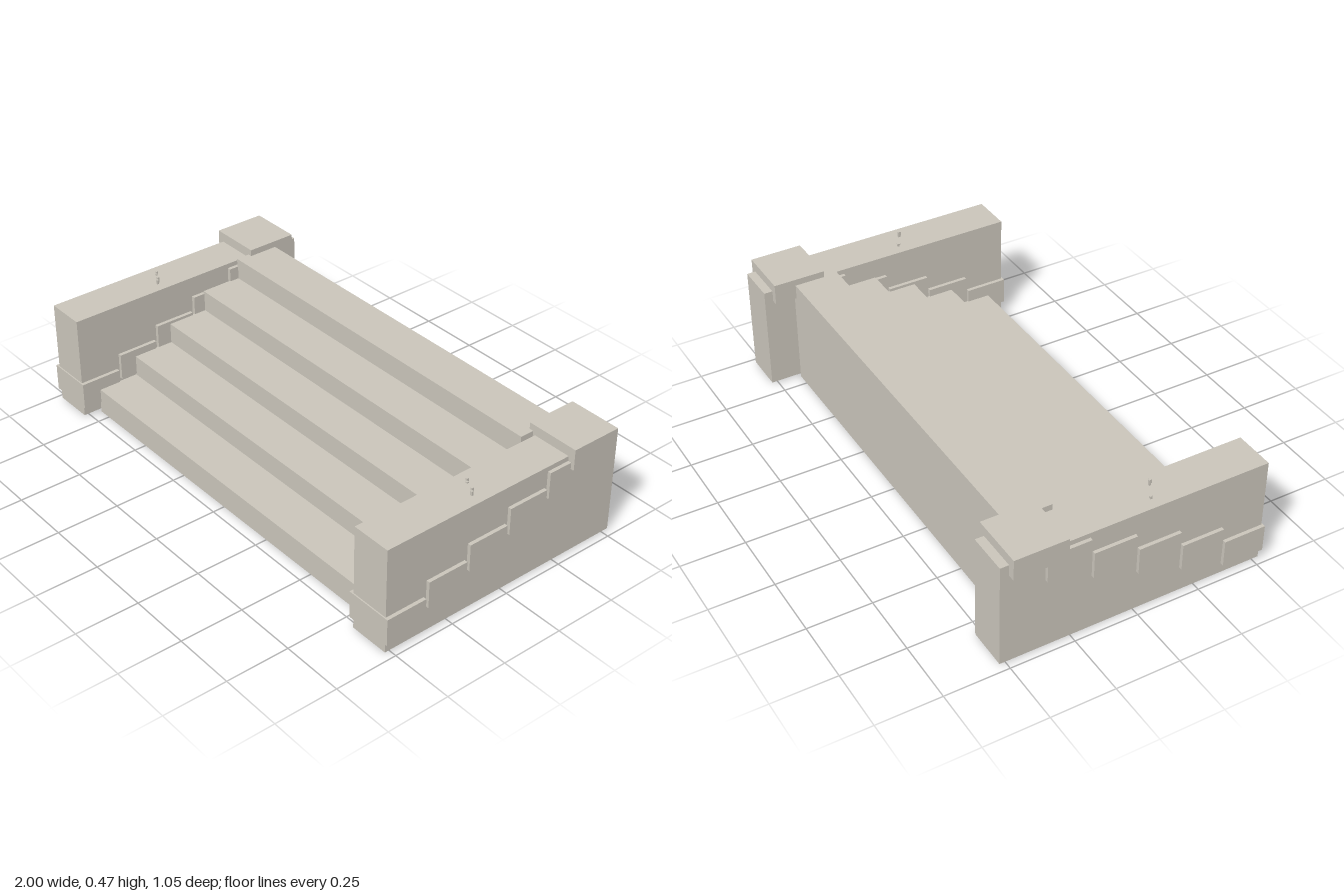
import * as THREE from 'three';

const stone = new THREE.MeshStandardMaterial({ color: 0xc9c4ba });
stone.name = 'stone';

// Box given by its min and max corners
function block(name, [x0, x1], [y0, y1], [z0, z1]) {
  const mesh = new THREE.Mesh(new THREE.BoxGeometry(x1 - x0, y1 - y0, z1 - z0), stone);
  mesh.position.set((x0 + x1) / 2, (y0 + y1) / 2, (z0 + z1) / 2);
  mesh.name = name;
  return mesh;
}

// Solid flight of five steps, extruded from its side profile
function createStairs() {
  const heights = [0.103, 0.188, 0.271, 0.356, 0.442];
  const fronts = [0.452, 0.281, 0.111, -0.058, -0.227];
  const back = -0.405, width = 1.604;
  const profile = new THREE.Shape();
  profile.moveTo(-back, 0);
  profile.lineTo(-fronts[0], 0);
  heights.forEach((y, i) => {
    profile.lineTo(-fronts[i], y);
    profile.lineTo(-(fronts[i + 1] ?? back), y);
  });
  const geo = new THREE.ExtrudeGeometry(profile, { depth: width, bevelEnabled: false });
  geo.translate(0, 0, -width / 2).rotateY(Math.PI / 2);
  const mesh = new THREE.Mesh(geo, stone);
  mesh.name = 'stairs';
  return mesh;
}

// Side wall with rising bands and a cap block; side is +1 (left) or -1 (right)
function createSideWall(side) {
  const group = new THREE.Group();
  group.name = side > 0 ? 'leftWall' : 'rightWall';
  const span = (a, b) => (side > 0 ? [a, b] : [-b, -a]);
  group.add(block('wall', span(0.812, 0.972), [0.007, 0.429], [-0.525, 0.523]));

  // Bands climbing alongside the steps
  for (let i = 0; i < 5; i++) {
    const y = 0.047 + i * 0.0637, z = 0.528 - i * 0.1788;
    group.add(block('band' + (i + 1), span(0.797, 0.986), [y, y + 0.108], [z - 0.168, z]));
  }
  group.add(block('cap', span(0.785, 1), [0.384, 0.468], [-0.491, -0.284]));

  // Tiny chips lying on top of the wall
  const cx = side * 0.892;
  for (const [dx, z, top] of [[-0.03, 0.08, 0.437], [0.03, 0.115, 0.449]]) {
    for (const s of [-1, 1]) {
      const x = cx + dx + s * 0.004, zc = z + s * 0.004;
      group.add(block('chip', [x - 0.004, x + 0.004], [0.428, top - s * 0.003], [zc - 0.004, zc + 0.004]));
    }
  }
  return group;
}

export function createModel() {
  const model = new THREE.Group();
  model.name = 'stoneSteps';
  model.add(createStairs(), createSideWall(1), createSideWall(-1));
  return model;
}
